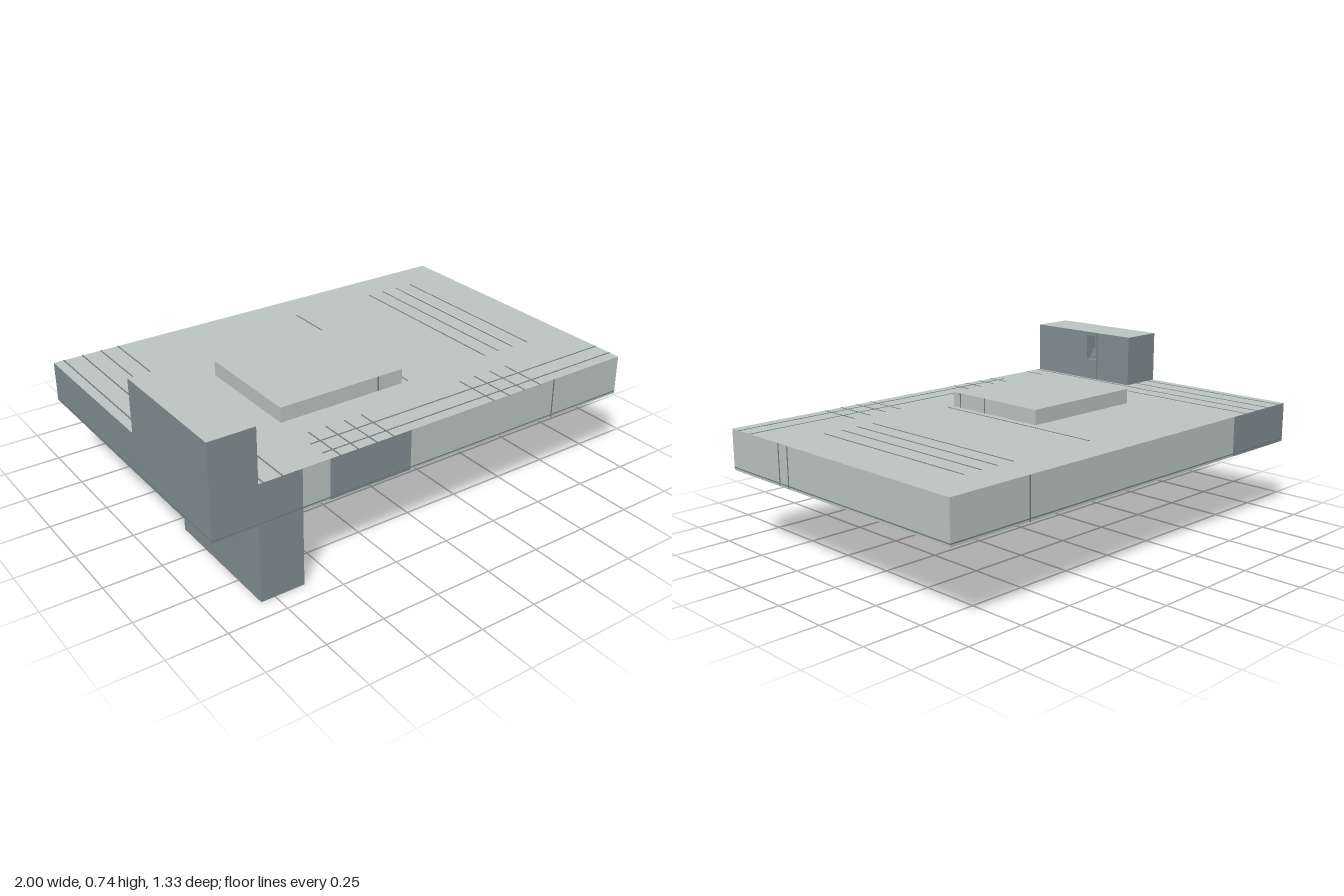
import * as THREE from 'three';

export function createModel() {
  const model = new THREE.Group();
  const mat = (name, color) => {
    const m = new THREE.MeshStandardMaterial({ color });
    m.name = name;
    return m;
  };
  const L = mat('light grey', 0xbcc6c3);
  const D = mat('dark grey', 0x829093);
  const S = mat('seam grey', 0x727d7e);

  // Box from min/max corners; materials may be an array in +x -x +y -y +z -z order
  const box = (name, [x0, x1], [y0, y1], [z0, z1], material, parent = model) => {
    const mesh = new THREE.Mesh(new THREE.BoxGeometry(x1 - x0, y1 - y0, z1 - z0), material);
    mesh.position.set((x0 + x1) / 2, (y0 + y1) / 2, (z0 + z1) / 2);
    mesh.name = name;
    parent.add(mesh);
    return mesh;
  };

  const B = 0.33, T = 0.505, Z = 0.665;

  // Main deck, split along x where the side colour changes
  box('deckEndBlock', [-1, -0.62], [B, T], [-Z, Z], [D, D, L, D, D, D]);
  box('deckLightBay', [-0.62, -0.5], [B, T], [-Z, Z], [L, L, L, D, L, L]);
  box('deckDarkBay', [-0.5, -0.125], [B, T], [-Z, Z], [L, L, L, D, D, L]);
  box('deckMain', [-0.125, 1], [B, T], [-Z, Z], [L, L, L, D, L, L]);

  // Raised platform on the deck
  box('raisedPlatform', [-0.5, 0.085], [T, 0.57], [-0.17, 0.333], L);

  // Tower block with a recessed doorway in its +x face
  const tower = (name, [x0, x1], [y0, y1], door, top) => {
    const group = new THREE.Group();
    group.name = name;
    model.add(group);
    const z0 = 0.08, xr = x1 - 0.06, [dz0, dz1, dy0, dy1] = door;
    box('core', [x0, xr], [y0, y1], [z0, Z], [D, D, top, D, D, D], group);
    const side = [D, D, top, D, D, D];
    box('wallBack', [xr, x1], [y0, y1], [z0, dz0], side, group);
    box('wallFront', [xr, x1], [y0, y1], [dz1, Z], side, group);
    box('lintel', [xr, x1], [dy1, y1], [dz0, dz1], side, group);
    box('sill', [xr, x1], [y0, dy0], [dz0, dz1], D, group);
    return group;
  };
  const upper = tower('upperTower', [-1, -0.805], [T, 0.735], [0.28, 0.343, 0.6, 0.718], L);
  const lower = tower('lowerTower', [-0.81, -0.62], [0, B], [0.343, 0.408, 0.012, 0.13], D);

  // Ledges and stairs inside the doorways
  box('ledge', [-0.864, -0.83], [0.6, 0.622], [0.28, 0.343], D, upper);
  box('upperLedge', [-0.864, -0.845], [0.622, 0.645], [0.28, 0.343], D, upper);
  for (let i = 0; i < 4; i++) {
    box('step', [-0.679, -0.635], [0.012, 0.027 + i * 0.012],
      [0.392 - i * 0.0163, 0.408 - i * 0.0163], D, lower);
  }

  // Panel seams as very thin strips
  const seams = new THREE.Group();
  seams.name = 'panelSeams';
  model.add(seams);
  const w = 0.003, e = 0.001;
  const topZ = (x, z0, z1) => box('topSeam', [x - w, x + w], [T - e, T + e], [z0, z1], S, seams);
  const topX = (z, x0, x1) => box('topSeam', [x0, x1], [T - e, T + e], [z - w, z + w], S, seams);
  [-0.955, -0.87].forEach(x => topZ(x, -Z, 0.08));
  [-0.785, -0.705].forEach(x => topZ(x, -Z, Z));
  [0.12, 0.54, 0.62, 0.7, 0.785].forEach(x => topZ(x, -0.5, 0.33));
  [-0.455, -0.375, -0.29, -0.21, 0.29, 0.37, 0.455, 0.54].forEach(x => topZ(x, 0.455, Z));
  [0.535, 0.615].forEach(z => topX(z, -0.5, 1));

  // Vertical seams on faces looking along x, then on faces looking along z
  const sideX = (x, z, y0, y1) => box('sideSeam', [x - e, x + e], [y0, y1], [z - w, z + w], S, seams);
  const sideZ = (z, x, y0, y1) => box('sideSeam', [x - w, x + w], [y0, y1], [z - e, z + e], S, seams);
  [0.335, 0.275].forEach(z => sideX(1, z, B, T));
  [0.29, 0.135].forEach(z => sideX(0.085, z, T, 0.57));
  [0.44, 0.185, 0.135].forEach(z => sideX(-0.62, z, 0.01, B));
  sideX(-0.805, 0.277, T, 0.73);
  sideZ(Z, 0.62, B, T);
  sideZ(-Z, 0.62, B, T);
  sideZ(0.333, -0.035, T, 0.57);

  // Lower lip line around the deck
  box('lipSeam', [-1 - e / 2, 1 + e / 2], [0.339, 0.344], [-Z - e, Z + e], S, seams);
  return model;
}
